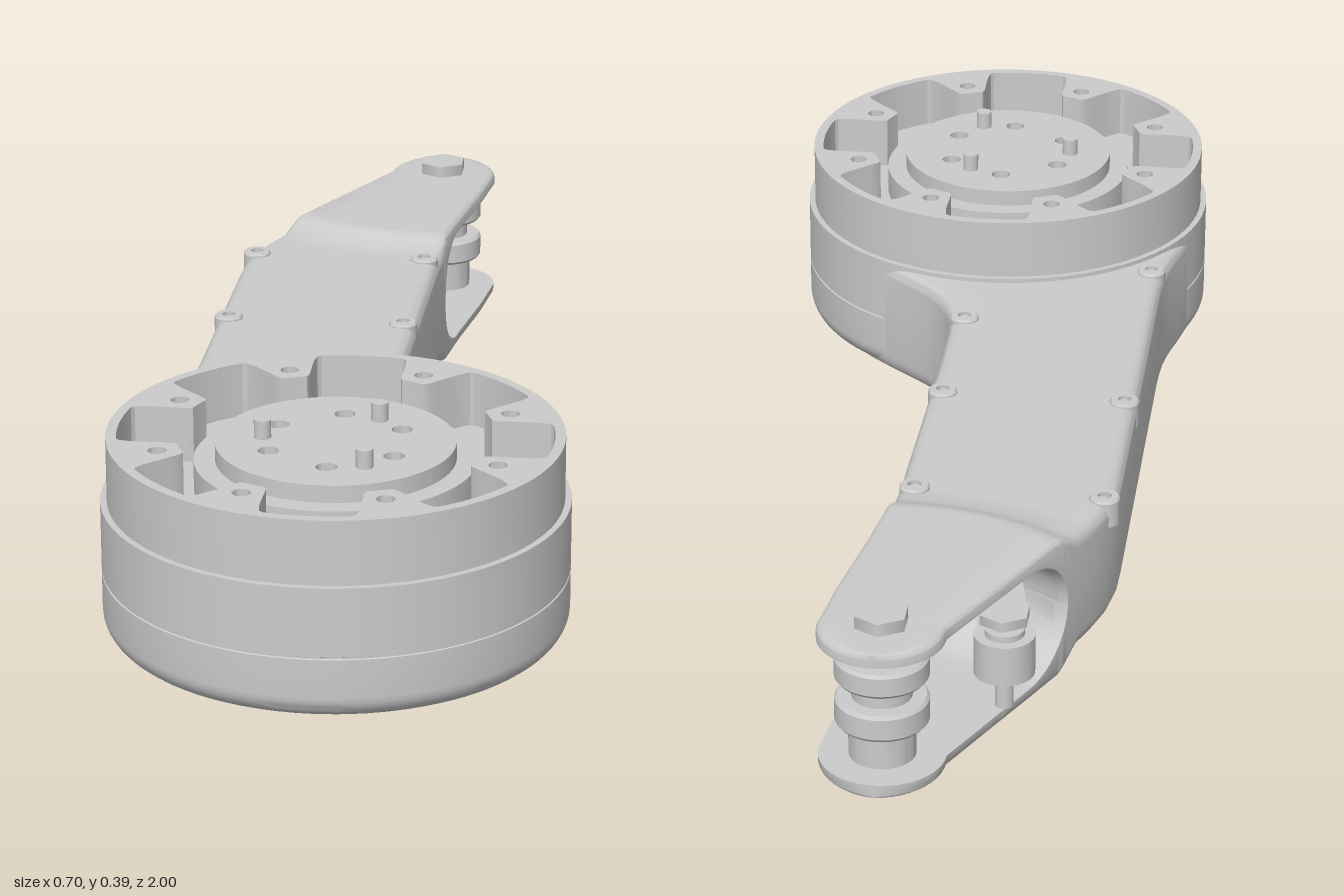
import * as THREE from 'three';
import { toCreasedNormals } from 'three/addons/utils/BufferGeometryUtils.js';

const material = new THREE.MeshStandardMaterial({ color: 0xcccccc });
const DRUM_Z = 0.645, MID = 0.167, TIP_Z = -0.905, TIP_R = 0.095;
const { smoothstep } = THREE.MathUtils;

function add(parent, name, geometry, x = 0, y = 0, z = 0) {
  const mesh = new THREE.Mesh(geometry, material);
  mesh.name = name;
  mesh.position.set(x, y, z);
  parent.add(mesh);
  return mesh;
}

// Upright cylinder between two heights
function rod(parent, name, r, y0, y1, x, z, sides = 24) {
  return add(parent, name, new THREE.CylinderGeometry(r, r, y1 - y0, sides), x, (y0 + y1) / 2, z);
}

function lathe(points, sides = 96) {
  const g = new THREE.LatheGeometry(points.map(p => new THREE.Vector2(...p)), sides);
  return toCreasedNormals(g, 0.5);
}

// Flat shape lying in plan, extruded upwards
function slab(shape, height) {
  const g = new THREE.ExtrudeGeometry(shape, { depth: height, bevelEnabled: false, curveSegments: 48 });
  return toCreasedNormals(g.rotateX(-Math.PI / 2), 0.5);
}

function circlePath(x, y, r, Type = THREE.Path) {
  return new Type().absarc(x, y, r, 0, Math.PI * 2, false);
}

// Arm edges in plan: [z, x]
const leftEdge = [[0.6, -0.345], [0.5, -0.326], [0.43, -0.31], [0.37, -0.302], [0.3, -0.3], [-0.4, -0.3], [-0.45, -0.296],
  [-0.5, -0.283], [-0.55, -0.265], [-0.6, -0.243], [-0.7, -0.195], [-0.8, -0.146], [-0.87, -0.112], [TIP_Z, -TIP_R]];
const rightEdge = [[0.6, 0.335], [0.45, 0.28], [0.38, 0.22], [0.33, 0.165], [0.29, 0.115], [0.25, 0.078], [0.21, 0.055],
  [0.15, 0.038], [0, 0.036], [-0.45, 0.04], [-0.55, 0.046], [-0.65, 0.059], [-0.8, 0.083], [TIP_Z, TIP_R]];

function edgeX(table, z, side) {
  if (z <= TIP_Z) return side * Math.sqrt(Math.max(0, TIP_R ** 2 - (z - TIP_Z) ** 2));
  const i = Math.max(1, table.findIndex(p => p[0] <= z));
  const [a, b] = [table[i - 1], table[i]];
  return a[1] + (b[1] - a[1]) * (z - a[0]) / (b[0] - a[0]);
}

// Half of the arm shell: solid to the mid plane, then a fork plate beyond the rounded slot end
function armHalf(up) {
  const slotZ = -0.525, slotR = 0.098, stations = [];
  for (let i = 0; i <= 30; i++) stations.push(0.6 - i * 0.0365);
  for (let i = 0; i <= 14; i++) stations.push(slotZ - slotR * (1 - Math.cos(i * Math.PI / 28)));
  for (let i = 1; i <= 12; i++) stations.push(slotZ - slotR + (TIP_Z - slotZ + slotR) * i / 12);
  for (let i = 1; i <= 12; i++) stations.push(TIP_Z - TIP_R * Math.sin(i * Math.PI / 24));

  const cols = 16, ring = cols * 2, positions = [], index = [];
  stations.forEach((z0, s) => {
    const fork = 1 - smoothstep(z0, -0.55, -0.49);
    const outer = up ? 0.268 + 0.018 * fork : 0.065 - 0.018 * fork;
    const round = THREE.MathUtils.lerp(up ? 0.022 : 0.032, 0.013, fork);
    const into = Math.min(slotR, Math.max(0, slotZ - z0));
    const gap = Math.sqrt(slotR ** 2 - (slotR - into) ** 2);
    const inner = MID + (up ? gap : -gap);
    const slant = (1 - smoothstep(z0, -0.5, -0.3)) * smoothstep(z0, -0.87, -0.62);
    const top = [], under = [];
    for (let k = 0; k < cols; k++) {
      const q = Math.min(k, cols - 1 - k, 5);
      const a = q * Math.PI / 10;
      const t = k < 6 ? 0 : k > 9 ? 1 : (k - 5) / 5;
      const z = z0 - 0.08 * (1 - t) ** 2 * slant;
      const l = edgeX(leftEdge, z, -1), r = edgeX(rightEdge, z, 1);
      const inset = Math.min(round, (r - l) / 2);
      const off = inset * (1 - Math.cos(a));
      const x = k < 6 ? l + off : k > 9 ? r - off : l + inset + (r - l - 2 * inset) * t;
      const drop = round * (1 - Math.sin(a));
      top.push([x, outer + (up ? -drop : drop), z]);
      under.unshift([x, inner, z]);
    }
    positions.push(...[...top, ...under].flat());
    if (!s) return;
    for (let j = 0; j < ring; j++) {
      const a = (s - 1) * ring + j, b = (s - 1) * ring + (j + 1) % ring, c = b + ring, d = a + ring;
      index.push(...(up ? [a, b, c, a, c, d] : [a, c, b, a, d, c]));
    }
  });
  const g = new THREE.BufferGeometry();
  g.setAttribute('position', new THREE.Float32BufferAttribute(positions, 3));
  g.setIndex(index);
  return toCreasedNormals(g, 0.6);
}

function buildDrum() {
  const drum = new THREE.Group();
  drum.name = 'drum';
  drum.position.z = DRUM_Z;

  // Rounded lower case with a fine seam
  const profile = [[0, 0.064]];
  for (let i = 0; i <= 8; i++) {
    const a = i * Math.PI / 16;
    profile.push([0.31 + 0.042 * Math.sin(a), 0.104 - 0.04 * Math.cos(a)]);
  }
  profile.push([0.352, 0.164], [0.35, 0.165], [0.35, 0.167], [0.352, 0.168], [0.352, 0.275], [0.335, 0.275], [0.335, 0.288], [0, 0.288]);
  add(drum, 'lowerCase', lathe(profile));

  // Upper ring whose inner wall weaves around eight screw bosses
  const bossAngle = i => Math.PI / 8 + i * Math.PI / 4;
  const rim = circlePath(0, 0, 0.342, THREE.Shape);
  const weave = [];
  for (let i = 0; i < 320; i++) {
    const a = i * Math.PI / 160, step = Math.PI / 4;
    const d = Math.abs((a % step) - step / 2);
    const r = 0.326 - 0.088 * (1 - smoothstep(d, 0.08, 0.19));
    weave.push(new THREE.Vector2(r * Math.cos(a), r * Math.sin(a)));
  }
  rim.holes.push(new THREE.Path(weave));
  for (let i = 0; i < 8; i++) {
    rim.holes.push(circlePath(0.272 * Math.cos(bossAngle(i)), 0.272 * Math.sin(bossAngle(i)), 0.014));
  }
  add(drum, 'upperRing', slab(rim, 0.1), 0, 0.275, 0);

  // Output hub, drilled flange and drive pins
  rod(drum, 'hub', 0.212, 0.28, 0.335, 0, 0, 80);
  const flange = circlePath(0, 0, 0.18, THREE.Shape);
  for (let i = 0; i < 6; i++) {
    const a = Math.PI / 2 + i * Math.PI / 3;
    flange.holes.push(circlePath(0.108 * Math.cos(a), 0.108 * Math.sin(a), 0.016));
  }
  add(drum, 'outputFlange', slab(flange, 0.027), 0, 0.335, 0);
  for (const [x, z] of [[-0.11, 0], [0.055, 0.1], [0.055, -0.09]]) {
    rod(drum, 'drivePin', 0.013, 0.335, 0.391, x, z);
  }
  return drum;
}

function buildAxle() {
  const axle = new THREE.Group();
  axle.name = 'forkAxle';
  axle.position.z = TIP_Z;
  rod(axle, 'axleShaft', 0.016, 0, 0.29, 0, 0);
  rod(axle, 'axleHead', 0.042, 0.285, 0.306, 0, 0, 6);
  add(axle, 'pulley', lathe([[0, 0.066], [0.05, 0.066], [0.05, 0.125], [0.066, 0.125], [0.07, 0.13], [0.07, 0.163],
    [0.066, 0.168], [0.045, 0.168], [0.045, 0.198], [0.066, 0.198], [0.07, 0.203], [0.07, 0.232], [0.066, 0.237],
    [0.045, 0.237], [0.045, 0.268], [0, 0.268]], 40));
  return axle;
}

function buildTensioner() {
  const tensioner = new THREE.Group();
  tensioner.name = 'tensioner';
  const x = -0.165, z = -0.785;
  rod(tensioner, 'tensionerEye', 0.046, 0.148, 0.212, x, z);
  rod(tensioner, 'tensionerBolt', 0.014, 0.09, 0.24, x, z);
  rod(tensioner, 'tensionerHead', 0.04, 0.235, 0.251, x, z, 6);
  rod(tensioner, 'tensionerWasher', 0.03, 0.212, 0.222, x, z);
  // Lever tapering from the eye towards the slot end
  const shape = new THREE.Shape([[0.042, 0], [0.03, 0.2], [-0.03, 0.2], [-0.042, 0]].map(p => new THREE.Vector2(...p)));
  const lever = add(tensioner, 'tensionerLever', slab(shape, 0.056), x, 0.152, z);
  lever.rotation.y = Math.PI + 0.15;
  const screw = add(tensioner, 'tensionerScrew', new THREE.CylinderGeometry(0.038, 0.038, 0.04, 24), x + 0.045, 0.18, -0.575);
  screw.rotation.x = Math.PI / 2;
  return tensioner;
}

export function createModel() {
  const model = new THREE.Group();
  model.name = 'jointedLink';
  const arm = new THREE.Group();
  arm.name = 'arm';
  add(arm, 'armUpperShell', armHalf(true));
  add(arm, 'armLowerShell', armHalf(false));

  // Socket screws along both edges of the arm
  const socket = lathe([[0, 0.23], [0.024, 0.23], [0.024, 0.27], [0.021, 0.274], [0.011, 0.274], [0.011, 0.262], [0, 0.262]], 24);
  for (const [x, z] of [[-0.28, -0.455], [0.014, -0.455], [-0.28, -0.125], [0.014, -0.125], [0.014, 0.15], [-0.28, 0.37]]) {
    add(arm, 'coverScrew', socket, x, 0, z);
  }
  model.add(arm, buildDrum(), buildAxle(), buildTensioner());
  return model;
}
